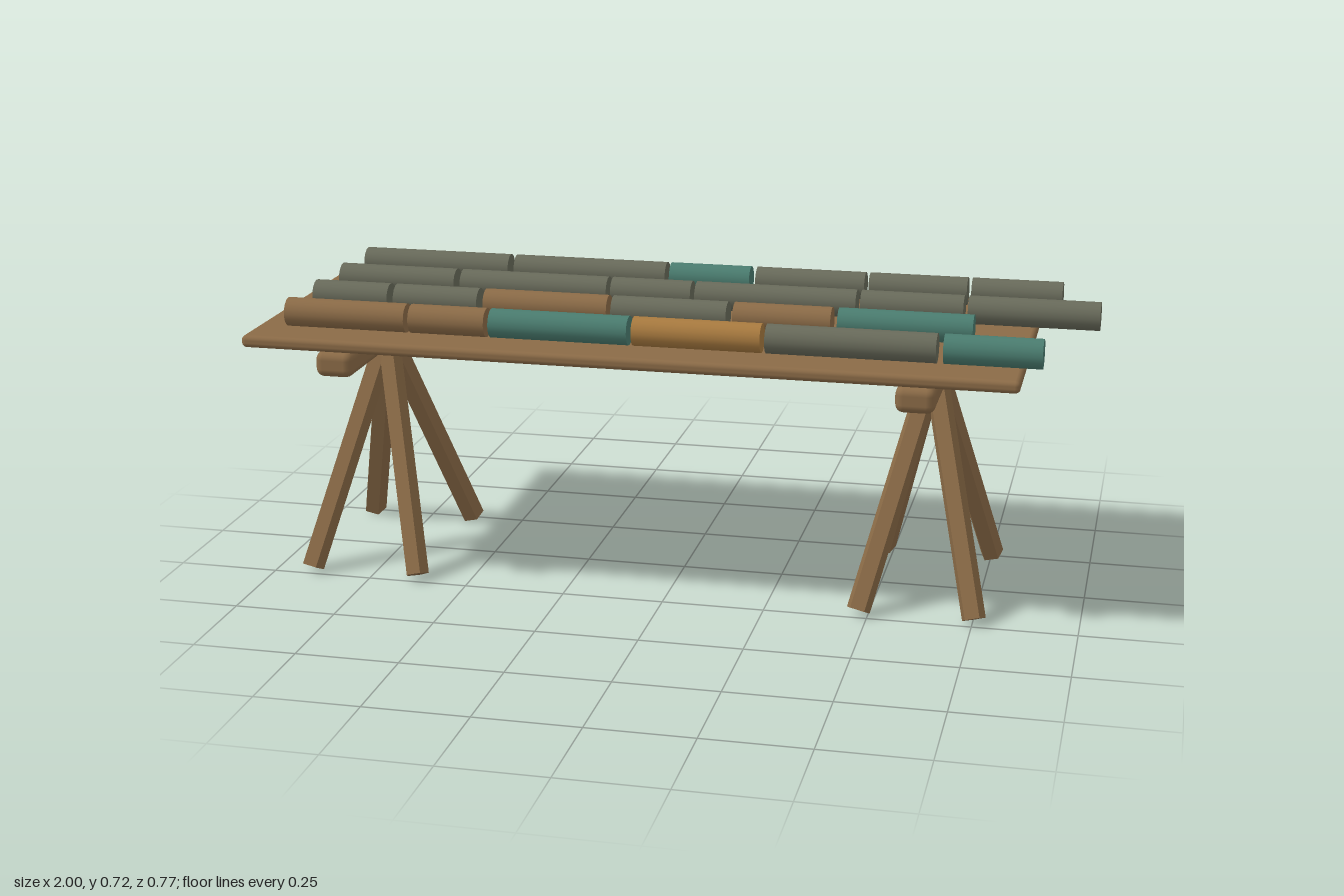
import * as THREE from 'three';
import { RoundedBoxGeometry } from 'three/addons/geometries/RoundedBoxGeometry.js';

export function createModel() {
  const model = new THREE.Group();
  const mat = (name, color, flatShading = false) => {
    const m = new THREE.MeshStandardMaterial({ color, flatShading });
    m.name = name;
    return m;
  };
  const wood = mat('wood', 0x8b6b47);
  const rods = {
    brown: mat('brownRod', 0x8b6b47),
    grey: mat('greyRod', 0x686a5a),
    teal: mat('tealRod', 0x4a7c6f),
    orange: mat('orangeRod', 0xa87a3f),
  };

  const add = (name, geometry, material, x, y, z, parent = model) => {
    const mesh = new THREE.Mesh(geometry, material);
    mesh.name = name;
    mesh.position.set(x, y, z);
    parent.add(mesh);
    return mesh;
  };

  // Table board
  add('tableTop', new RoundedBoxGeometry(1.85, 0.03, 0.77, 2, 0.012), wood, -0.075, 0.632, 0);

  // Two trestles: a cross beam on four splayed five-sided legs
  const beamGeometry = new RoundedBoxGeometry(0.092, 0.062, 0.77, 2, 0.02);
  const top = new THREE.Vector3(0, 0.57, 0);
  for (const x of [-0.77, 0.615]) {
    const trestle = new THREE.Group();
    trestle.name = 'trestle';
    trestle.position.x = x;
    model.add(trestle);
    add('crossBeam', beamGeometry, wood, 0, 0.586, 0, trestle);
    for (const sx of [-1, 1]) for (const sz of [-1, 1]) {
      const foot = new THREE.Vector3(sx * 0.138, 0.014, sz * 0.232);
      const axis = top.clone().sub(foot);
      const mid = top.clone().add(foot).multiplyScalar(0.5);
      // a corner of the pentagon points to the back
      const legGeometry = new THREE.CylinderGeometry(0.03, 0.03, axis.length(), 5, 1, false, Math.PI)
        .toNonIndexed();
      legGeometry.computeVertexNormals();
      const leg = add('leg', legGeometry, wood, mid.x, mid.y, mid.z, trestle);
      leg.quaternion.setFromUnitVectors(new THREE.Vector3(0, 1, 0), axis.normalize());
    }
  }

  // Four rows of round rods: [start x, end x, colour]
  const rows = [
    [0.28, [
      [-0.915, -0.615, 'brown'], [-0.604, -0.417, 'brown'], [-0.406, -0.07, 'teal'],
      [-0.059, 0.246, 'orange'], [0.257, 0.652, 'grey'], [0.668, 0.892, 'teal']]],
    [0.093, [
      [-0.915, -0.722, 'grey'], [-0.706, -0.492, 'grey'], [-0.476, -0.166, 'brown'],
      [-0.155, 0.128, 'grey'], [0.144, 0.38, 'brown'], [0.396, 0.716, 'teal']]],
    [-0.093, [
      [-0.915, -0.61, 'grey'], [-0.594, -0.214, 'grey'], [-0.203, 0, 'grey'],
      [0.011, 0.412, 'grey'], [0.423, 0.674, 'grey'], [0.685, 1, 'grey']]],
    [-0.28, [
      [-0.915, -0.524, 'grey'], [-0.508, -0.107, 'grey'], [-0.096, 0.112, 'teal'],
      [0.128, 0.406, 'grey'], [0.417, 0.663, 'grey'], [0.674, 0.898, 'grey']]],
  ];
  for (const [z, pieces] of rows) {
    const row = new THREE.Group();
    row.name = 'rodRow';
    model.add(row);
    for (const [x0, x1, colour] of pieces) {
      const geometry = new THREE.CylinderGeometry(0.035, 0.035, x1 - x0, 16).rotateZ(Math.PI / 2);
      add('rod', geometry, rods[colour], (x0 + x1) / 2, 0.686, z, row);
    }
  }
  return model;
}
